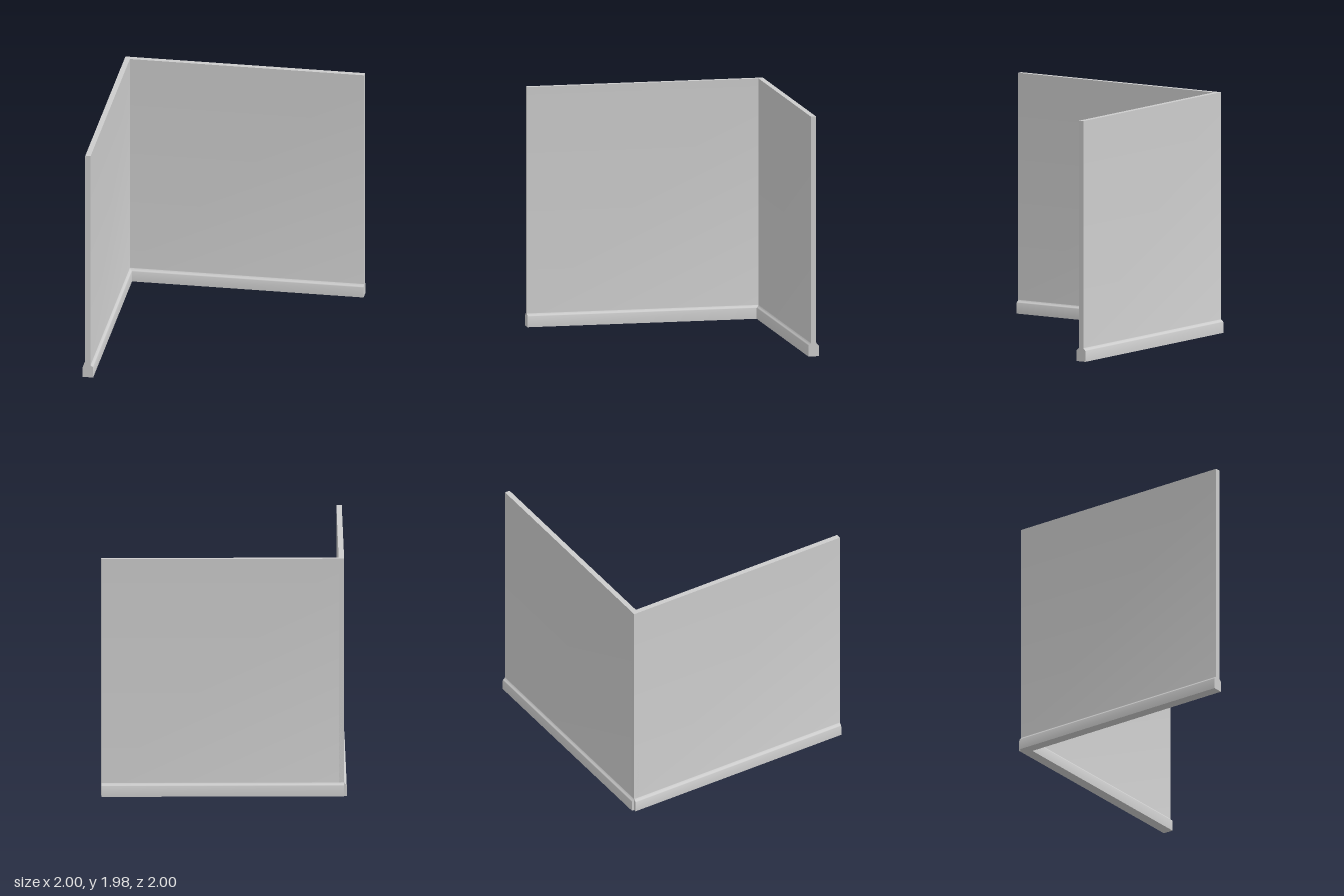
import * as THREE from 'three';
import { toCreasedNormals } from 'three/addons/utils/BufferGeometryUtils.js';

const HEIGHT = 1.98;       // top of the walls
const WALL = 0.022;        // half thickness of a wall
const SKIRT = 0.0435;      // half thickness at the skirting
const CENTRE = -0.9565;    // wall centre line, on x and on z
const START = CENTRE - WALL;
const LENGTH = 1 - START;

// Cross-section: thin wall with a skirting on both sides at the floor
function wallProfile() {
  const s = new THREE.Shape();
  const mid = (WALL + SKIRT) / 2;
  s.moveTo(-SKIRT, 0);
  s.lineTo(SKIRT, 0);
  s.lineTo(SKIRT, 0.085);
  s.quadraticCurveTo(SKIRT, 0.092, mid, 0.099);
  s.quadraticCurveTo(WALL, 0.106, WALL, 0.113);
  s.lineTo(WALL, HEIGHT);
  s.lineTo(-WALL, HEIGHT);
  s.lineTo(-WALL, 0.113);
  s.quadraticCurveTo(-WALL, 0.106, -mid, 0.099);
  s.quadraticCurveTo(-SKIRT, 0.092, -SKIRT, 0.085);
  s.closePath();
  return s;
}

export function createModel() {
  const group = new THREE.Group();
  group.name = 'cornerWalls';
  const material = new THREE.MeshStandardMaterial({ color: 0xcccccc });
  const extruded = new THREE.ExtrudeGeometry(wallProfile(), {
    depth: LENGTH, bevelEnabled: false, curveSegments: 4,
  });
  const geometry = toCreasedNormals(extruded, Math.PI / 6);

  // Side wall runs along z
  const sideWall = new THREE.Mesh(geometry, material);
  sideWall.name = 'rightWall';
  sideWall.position.set(CENTRE, 0, START);
  group.add(sideWall);

  // Back wall is the same section turned to run along x
  const backWall = new THREE.Mesh(geometry, material);
  backWall.name = 'backWall';
  backWall.rotation.y = Math.PI / 2;
  backWall.position.set(START, 0, CENTRE);
  group.add(backWall);

  return group;
}
